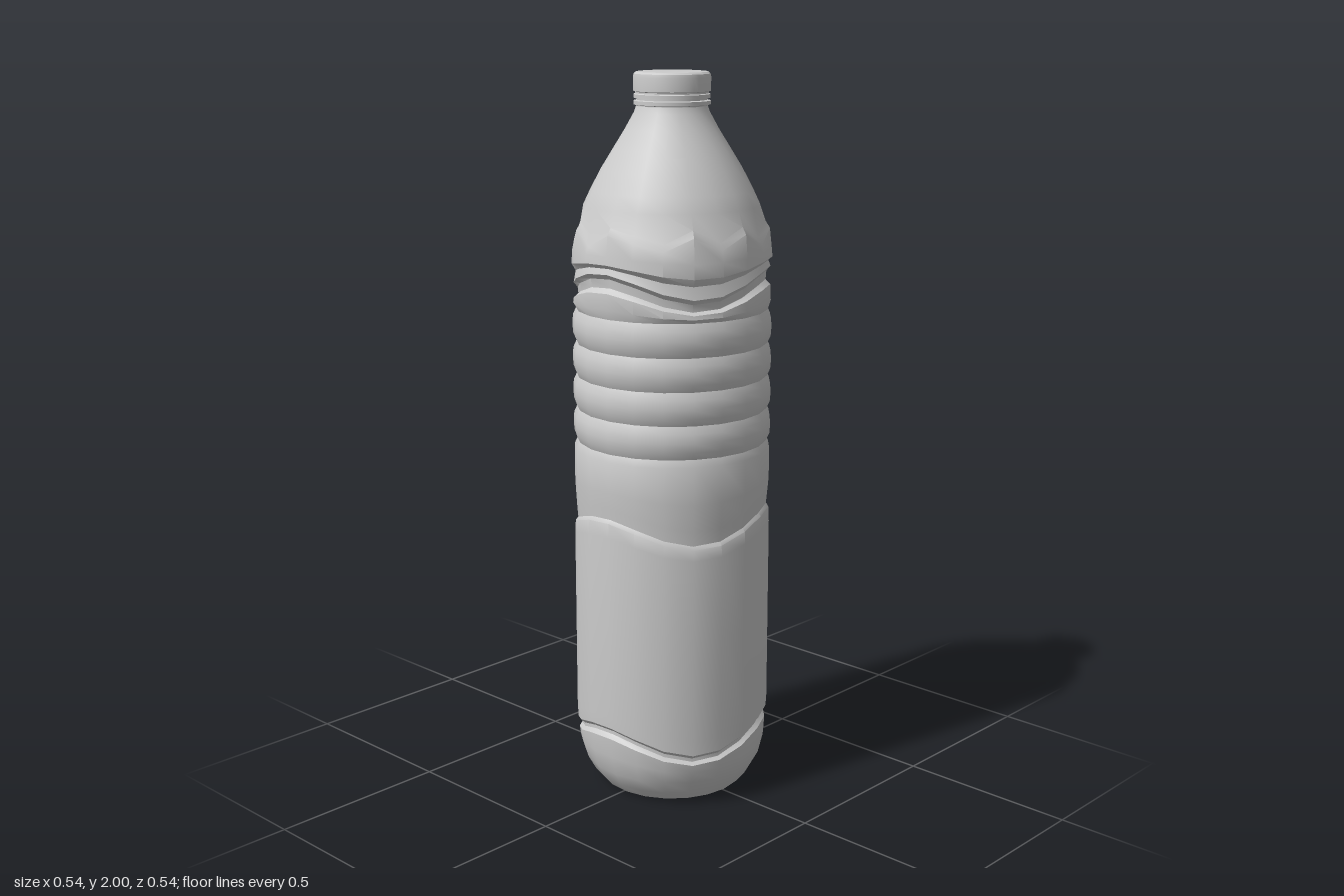
import * as THREE from 'three';
import { toCreasedNormals } from 'three/addons/utils/BufferGeometryUtils.js';

const SIDES = 21;
const grey = new THREE.MeshStandardMaterial({ color: 0xcccccc, side: THREE.DoubleSide });

// three waves around the body, one crest at the front
const wave = (k) => Math.cos(3 * ((k / SIDES) * Math.PI * 2 - Math.PI / 2));
// zigzag around the shoulder; one tooth is longer as the side count is odd
const zigzag = (k) => (k === 4 ? 0 : (k < 4 ? k % 2 === 0 : k % 2 === 1) ? 1 : -1);

// skin rings of [radius, height, wave amplitude, zigzag amplitude], bottom to top
function skinRings(rings) {
  const pos = [], index = [];
  rings.forEach(([r, y, w = 0, z = 0], i) => {
    for (let k = 0; k < SIDES; k++) {
      const a = (k / SIDES) * Math.PI * 2;
      pos.push(r * Math.cos(a), y + w * wave(k) + z * zigzag(k), r * Math.sin(a));
      if (i === rings.length - 1) continue;
      const p = i * SIDES + k, q = i * SIDES + ((k + 1) % SIDES);
      index.push(p, p + SIDES, q + SIDES, p, q + SIDES, q);
    }
  });
  const geo = new THREE.BufferGeometry();
  geo.setAttribute('position', new THREE.Float32BufferAttribute(pos, 3));
  geo.setIndex(index);
  return toCreasedNormals(geo, 0.6);
}

function lathe(profile) {
  const pts = profile.map(([r, y]) => new THREE.Vector2(r, y));
  return toCreasedNormals(new THREE.LatheGeometry(pts, SIDES * 2), 0.6);
}

export function createModel() {
  const group = new THREE.Group();
  const add = (name, geo) => {
    const mesh = new THREE.Mesh(geo, grey);
    mesh.name = name;
    group.add(mesh);
  };

  // hollow underside, rounded foot and wavy lower groove
  const rings = [
    [0.001, 0.055], [0.09, 0.05], [0.145, 0.033], [0.175, 0.012], [0.188, 0.002],
    [0.203, 0.006], [0.228, 0.035], [0.25, 0.075], [0.264, 0.12, 0.012],
    [0.268, 0.16, 0.028], [0.258, 0.17, 0.03], [0.258, 0.18, 0.03], [0.271, 0.192, 0.03],
    // label panel and wavy waist
    [0.273, 0.23, 0.025], [0.273, 0.5], [0.273, 0.75, 0.025],
    [0.271, 0.785, 0.03], [0.264, 0.795, 0.03], [0.267, 0.83, 0.025],
    [0.271, 0.89, 0.01], [0.271, 0.985],
  ];

  // ribs
  const ribBottom = 1.005, pitch = 0.091;
  for (let i = 0; i < 4; i++) {
    const y = ribBottom + i * pitch;
    rings.push([0.262, y], [0.271, y + 0.02], [0.273, y + pitch / 2], [0.271, y + pitch - 0.02]);
  }

  // wavy upper groove, shoulder step and dome
  rings.push(
    [0.262, 1.37], [0.27, 1.388, 0.008], [0.268, 1.415, 0.025],
    [0.255, 1.425, 0.028], [0.257, 1.447, 0.03], [0.268, 1.46, 0.03],
    [0.262, 1.485, 0.02], [0.273, 1.5, 0.015], [0.271, 1.53, 0.006],
    [0.265, 1.573, 0, 0.018], [0.253, 1.592, 0, 0.018],
    [0.239, 1.65], [0.22, 1.69], [0.191, 1.745], [0.157, 1.8], [0.126, 1.85], [0.102, 1.893], [0.096, 1.91],
  );
  add('body', skinRings(rings));

  // neck with collar
  add('neck', lathe([
    [0.096, 1.885], [0.095, 1.912], [0.103, 1.914], [0.103, 1.924],
    [0.094, 1.926], [0.094, 1.945],
  ]));

  // screw cap with tamper band
  add('cap', lathe([
    [0.09, 1.931], [0.102, 1.931], [0.102, 1.941], [0.098, 1.943], [0.098, 1.947],
    [0.103, 1.949], [0.104, 1.985], [0.102, 1.994], [0.096, 1.999], [0.085, 2.0], [0, 2.0],
  ]));

  return group;
}
